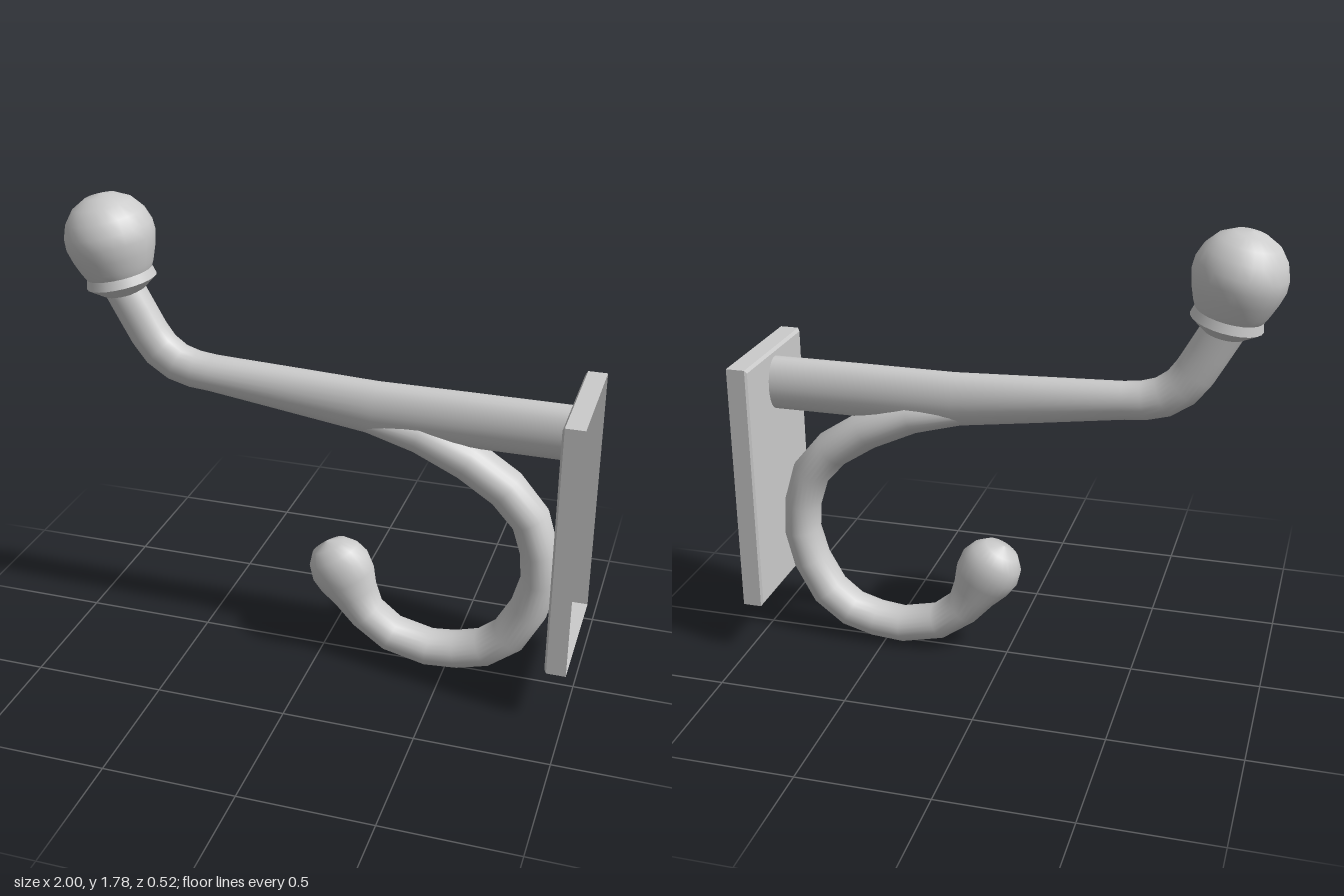
import * as THREE from 'three';

const SIDES = 24;

// Sweeps an ellipse along a path in the xy plane.
// Each station is [x, y, radius in the plane, radius along z].
function sweep(stations) {
  const pos = [], index = [];
  const n = stations.length;
  stations.forEach(([x, y, r, rz], i) => {
    const a = stations[Math.max(i - 1, 0)], b = stations[Math.min(i + 1, n - 1)];
    const t = new THREE.Vector2(b[0] - a[0], b[1] - a[1]).normalize();
    for (let j = 0; j < SIDES; j++) {
      const u = (j / SIDES) * Math.PI * 2, c = Math.cos(u) * r;
      pos.push(x - t.y * c, y + t.x * c, Math.sin(u) * rz);
    }
  });
  for (let i = 0; i < n - 1; i++) {
    for (let j = 0; j < SIDES; j++) {
      const k = (j + 1) % SIDES;
      const a = i * SIDES + j, b = i * SIDES + k;
      index.push(a, b, a + SIDES, b, b + SIDES, a + SIDES);
    }
  }
  const geo = new THREE.BufferGeometry();
  geo.setAttribute('position', new THREE.Float32BufferAttribute(pos, 3));
  geo.setIndex(index);
  geo.computeVertexNormals();
  return geo;
}

const lathe = (points, sides) =>
  new THREE.LatheGeometry(points.map(([r, y]) => new THREE.Vector2(r, y)), sides);

export function createModel() {
  const group = new THREE.Group();
  const smooth = new THREE.MeshStandardMaterial({ color: 0xcccccc, side: THREE.DoubleSide });
  const flat = new THREE.MeshStandardMaterial({ color: 0xcccccc, side: THREE.DoubleSide, flatShading: true });
  const add = (name, geo, mat = smooth, parent = group) => {
    const mesh = new THREE.Mesh(geo, mat);
    mesh.name = name;
    parent.add(mesh);
    return mesh;
  };

  // Wall plate: a shallow tray, open towards the wall, with a small bevel
  const d = Math.SQRT2;
  const plate = lathe([[0, 0], [0.975 * d, 0], [d, 0.008], [d, 0.08]], 4);
  plate.rotateY(Math.PI / 4).scale(0.49, 1, 0.26).rotateZ(-Math.PI / 2).translate(0.92, 0.71, 0);
  add('wallPlate', plate, flat);

  // Upper arm: deep oval at the plate, round at the bend
  add('upperArm', sweep([
    [0.945, 1.065, 0.105, 0.07],
    [0.55, 1.065, 0.105, 0.07],
    [0.2, 1.065, 0.104, 0.069],
    [-0.12, 1.094, 0.088, 0.068],
    [-0.44, 1.123, 0.071, 0.068],
    [-0.51, 1.13, 0.073, 0.068],
    [-0.58, 1.15, 0.075, 0.068],
    [-0.645, 1.195, 0.077, 0.068],
    [-0.69, 1.255, 0.077, 0.068],
    [-0.735, 1.335, 0.077, 0.068],
    [-0.785, 1.425, 0.077, 0.068],
  ]));
  const cap = new THREE.CircleGeometry(1, SIDES);
  cap.scale(0.07, 0.105, 1).rotateY(Math.PI / 2).translate(0.945, 1.065, 0);
  add('armEndCap', cap);

  // Knob and collar, tilted on the end of the arm
  const knob = new THREE.Group();
  knob.name = 'upperKnob';
  knob.position.set(-0.783, 1.409, 0);
  knob.rotation.z = 0.21;
  group.add(knob);
  add('collarTaper', lathe([[0, 0], [0.076, 0], [0.133, 0.042]], SIDES), flat, knob);
  add('collarBand', lathe([[0.133, 0.042], [0.124, 0.076]], SIDES), smooth, knob);
  add('knobBall', lathe([
    [0.124, 0.076], [0.137, 0.1], [0.156, 0.15], [0.169, 0.2], [0.167, 0.245],
    [0.149, 0.295], [0.113, 0.34], [0.06, 0.369], [0, 0.378],
  ], SIDES), smooth, knob);

  // Lower hook: leaves the arm, curls back under it and swells into a ball tip
  add('lowerHook', sweep([
    [0.16, 1.015, 0.045, 0.05],
    [0.37, 0.985, 0.07, 0.082],
    [0.555, 0.905, 0.075, 0.085],
    [0.7, 0.81, 0.075, 0.085],
    [0.795, 0.7, 0.073, 0.083],
    [0.835, 0.57, 0.071, 0.081],
    [0.843, 0.45, 0.071, 0.08],
    [0.81, 0.32, 0.073, 0.08],
    [0.74, 0.19, 0.075, 0.08],
    [0.645, 0.115, 0.073, 0.08],
    [0.54, 0.085, 0.071, 0.08],
    [0.43, 0.075, 0.07, 0.08],
    [0.28, 0.11, 0.07, 0.08],
    [0.18, 0.185, 0.073, 0.08],
    [0.13, 0.265, 0.092, 0.088],
    [0.097, 0.325, 0.117, 0.1],
    [0.067, 0.377, 0.124, 0.105],
    [0.04, 0.422, 0.108, 0.092],
    [0.02, 0.459, 0.072, 0.06],
    [0.01, 0.476, 0, 0],
  ]));

  return group;
}
